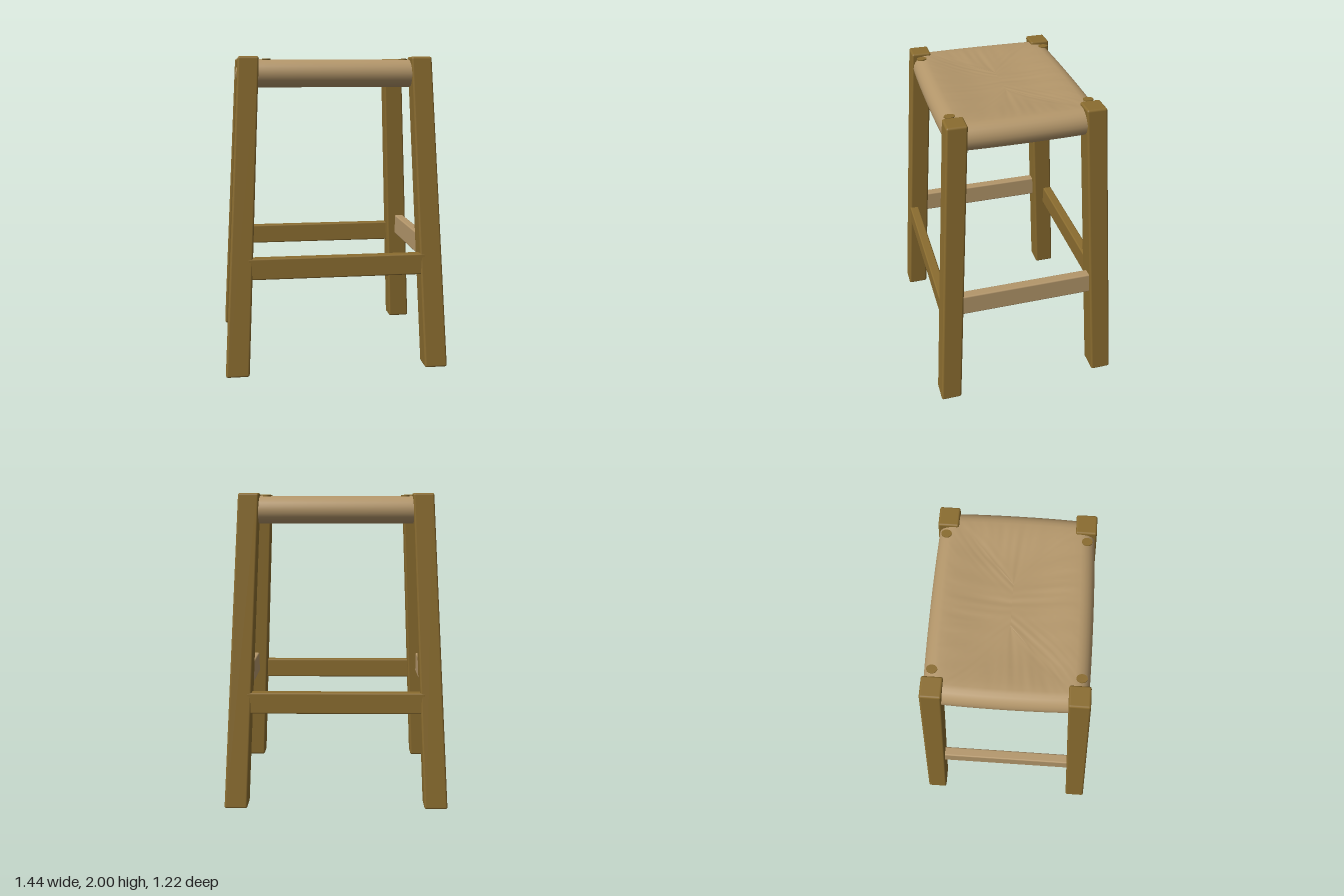
import * as THREE from 'three';
import { RoundedBoxGeometry } from 'three/addons/geometries/RoundedBoxGeometry.js';

const wood = new THREE.MeshStandardMaterial({ color: 0x8a6c2f });
wood.name = 'brown wood';
const rush = new THREE.MeshStandardMaterial({ color: 0xb3966a });
rush.name = 'pale rush';

function addMesh(parent, name, geometry, material, x = 0, y = 0, z = 0) {
  const mesh = new THREE.Mesh(geometry, material);
  mesh.name = name;
  mesh.position.set(x, y, z);
  parent.add(mesh);
  return mesh;
}

// Splayed leg, tapering slightly towards the top
function legGeometry(sx, sz) {
  const g = new RoundedBoxGeometry(0.149, 2, 0.137, 3, 0.014);
  const p = g.attributes.position;
  for (let i = 0; i < p.count; i++) {
    const t = (p.getY(i) + 1) / 2;
    p.setX(i, p.getX(i) * (1 - 0.14 * t));
    p.setZ(i, p.getZ(i) * (1 - 0.09 * t));
  }
  g.translate(0, 1, 0);
  // lean inwards, keeping the ends level
  const shear = new THREE.Matrix4().set(
    1, -sx * 0.0525, 0, sx * 0.645,
    0, 1, 0, 0,
    0, -sz * 0.0645, 1, sz * 0.541,
    0, 0, 0, 1);
  return g.applyMatrix4(shear);
}

// Woven seat: rectangular rings running from the top seam, round the edge roll, to the bottom seam
function seatGeometry() {
  const HX = 0.595, HZ = 0.462, R = 0.086, MID = 1.897;
  const N = 40; // points on each side of a ring
  const profile = []; // [inset, y, ripple]
  const inner = [HZ, 0.4, 0.34, 0.28, 0.22, 0.17, 0.125];
  const dish = (d) => 0.018 * THREE.MathUtils.smoothstep(d, R, 0.35);
  inner.forEach((d) => profile.push([d, MID + R - dish(d), 1]));
  for (let k = 0; k <= 12; k++) {
    const a = Math.PI * k / 12;
    profile.push([R * (1 - Math.sin(a)), MID + R * Math.cos(a), 0]);
  }
  inner.slice().reverse().forEach((d) => profile.push([d, MID - R + dish(d) * 1.5, -1]));

  const corners = [[1, 1], [1, -1], [-1, -1], [-1, 1]];
  const pos = [], index = [], ring = 4 * N;
  for (const [d, y, ripple] of profile) {
    for (let s = 0; s < 4; s++) {
      const [ax, az] = corners[s], [bx, bz] = corners[(s + 1) % 4];
      for (let i = 0; i < N; i++) {
        const t = i / N, bow = 0.017 * Math.sqrt(Math.sin(Math.PI * t)) * (1 - d / HZ);
        const ux = ax + (bx - ax) * t, uz = az + (bz - az) * t;
        const x = ux * (HX - d) + (s % 2 === 0 ? ax * bow : 0);
        const z = uz * (HZ - d) + (s % 2 === 1 ? az * bow : 0);
        // faint cord ripples on the flat areas
        const along = s % 2 === 0 ? z : x;
        const wave = 0.002 * Math.sin(along * 75 + 9 * d) * Math.sin(along * 31 + 1);
        pos.push(x, y + ripple * wave, z);
      }
    }
  }
  for (let r = 0; r < profile.length - 1; r++) {
    for (let i = 0; i < ring; i++) {
      const j = (i + 1) % ring;
      const a = r * ring + i, b = r * ring + j, c = a + ring, e = b + ring;
      index.push(a, c, b, b, c, e);
    }
  }
  const g = new THREE.BufferGeometry();
  g.setAttribute('position', new THREE.Float32BufferAttribute(pos, 3));
  g.setIndex(index);
  g.computeVertexNormals();
  return g;
}

export function createModel() {
  const stool = new THREE.Group();
  stool.name = 'stool';

  addMesh(stool, 'wovenSeat', seatGeometry(), rush);

  for (const sx of [1, -1]) {
    for (const sz of [1, -1]) {
      const end = (sz > 0 ? 'front' : 'back') + (sx > 0 ? 'Left' : 'Right');
      addMesh(stool, end + 'Leg', legGeometry(sx, sz), wood);
      // wooden peg showing through the weave beside the leg
      const peg = addMesh(stool, end + 'Peg',
        new THREE.CylinderGeometry(0.026, 0.026, 0.008, 12), wood, sx * 0.43, 1.983, sz * 0.42);
      peg.scale.z = 1.25;
    }
  }

  // Lower front and back rails
  for (const sz of [1, -1]) {
    addMesh(stool, sz > 0 ? 'frontRail' : 'backRail',
      new RoundedBoxGeometry(1.14, 0.137, 0.062, 2, 0.01), wood, 0, 0.687, sz * 0.529);
  }
  // Slightly higher side rails
  for (const sx of [1, -1]) {
    addMesh(stool, sx > 0 ? 'leftRail' : 'rightRail',
      new RoundedBoxGeometry(0.062, 0.143, 0.93, 2, 0.01), rush, sx * 0.624, 0.75, 0);
  }
  return stool;
}
